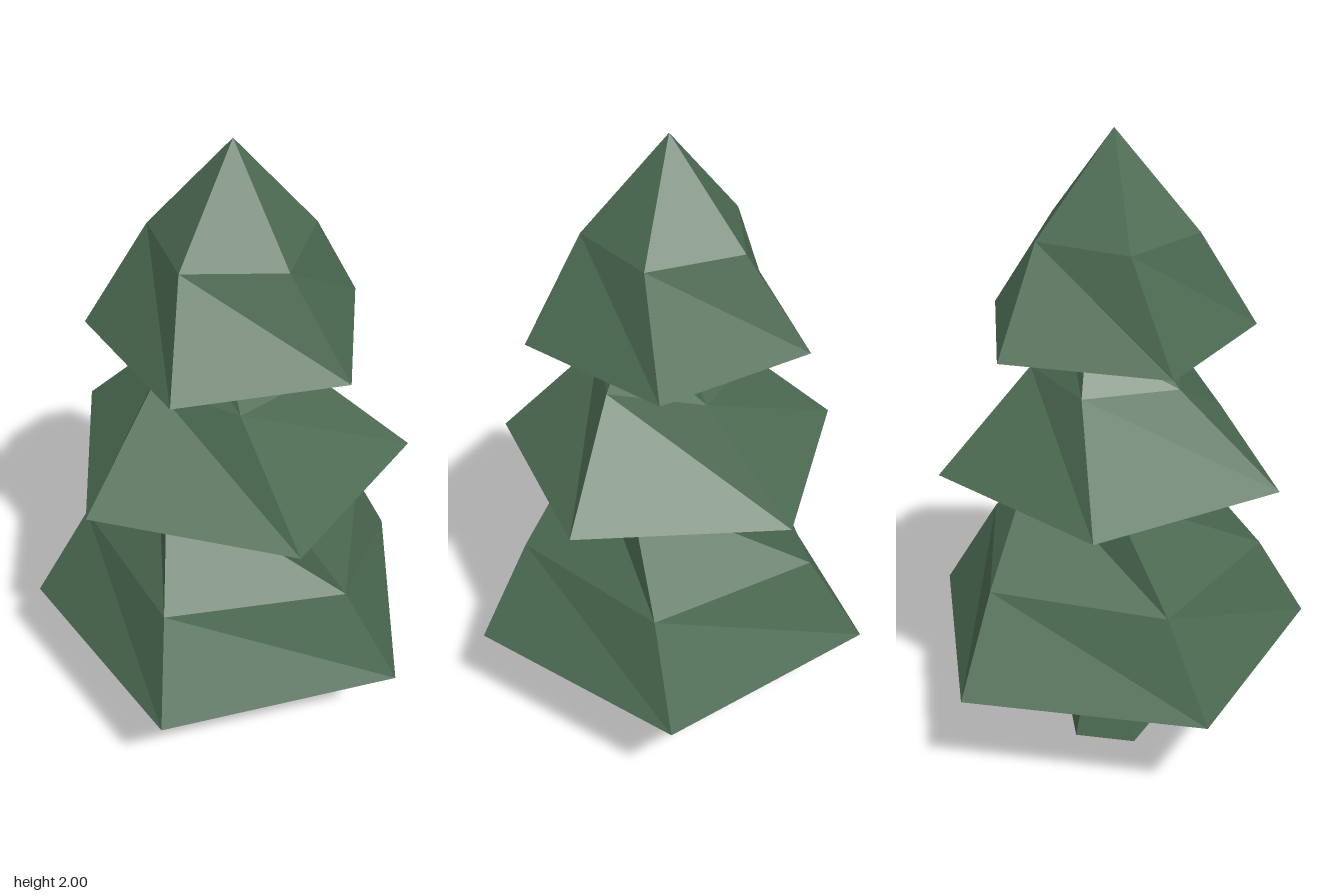
import * as THREE from 'three';

const SIDES = 5;
const AXIS_Z = 0.045; // the trunk axis sits slightly forward of centre

// Stack of pentagonal rings [y, radius, angle in degrees], capped at both ends
function twistedStack(rings) {
  const pos = [];
  const point = ([y, r, deg], i) => {
    const a = THREE.MathUtils.degToRad(deg + (i * 360) / SIDES);
    return [r * Math.cos(a), y, AXIS_Z + r * Math.sin(a)];
  };
  const tri = (a, b, c) => pos.push(...a, ...b, ...c);
  const bottom = rings[0];
  const top = rings[rings.length - 1];
  for (let i = 0; i < SIDES; i++) {
    for (let k = 0; k < rings.length - 1; k++) {
      const lo = rings[k], hi = rings[k + 1];
      tri(point(lo, i), point(hi, i + 1), point(lo, i + 1));
      if (hi[1] > 0) tri(point(lo, i), point(hi, i), point(hi, i + 1));
    }
    tri([0, bottom[0], AXIS_Z], point(bottom, i), point(bottom, i + 1));
    if (top[1] > 0) tri([0, top[0], AXIS_Z], point(top, i + 1), point(top, i));
  }
  const geo = new THREE.BufferGeometry();
  geo.setAttribute('position', new THREE.Float32BufferAttribute(pos, 3));
  geo.computeVertexNormals(); // unshared corners give flat facets
  return geo;
}

export function createModel() {
  const group = new THREE.Group();
  group.name = 'pineTree';
  const green = new THREE.MeshStandardMaterial({ color: 0x4c6b52 });
  green.name = 'pineGreen';

  const parts = {
    // flared trunk
    trunk: [[0, 0.165, -18], [0.14, 0.131, -18], [0.38, 0.088, -18]],
    // three skirts of foliage, each twisting as it narrows
    lowerFoliage: [[0.365, 0.635, -18], [0.66, 0.47, -12], [0.97, 0.268, 9]],
    middleFoliage: [[0.965, 0.54, 14], [1.27, 0.25, 29.5], [1.41, 0.145, 41]],
    upperFoliage: [[1.4, 0.43, -14.4], [1.705, 0.252, -2.5], [2, 0, 0]],
  };
  for (const [name, rings] of Object.entries(parts)) {
    const mesh = new THREE.Mesh(twistedStack(rings), green);
    mesh.name = name;
    group.add(mesh);
  }
  return group;
}
